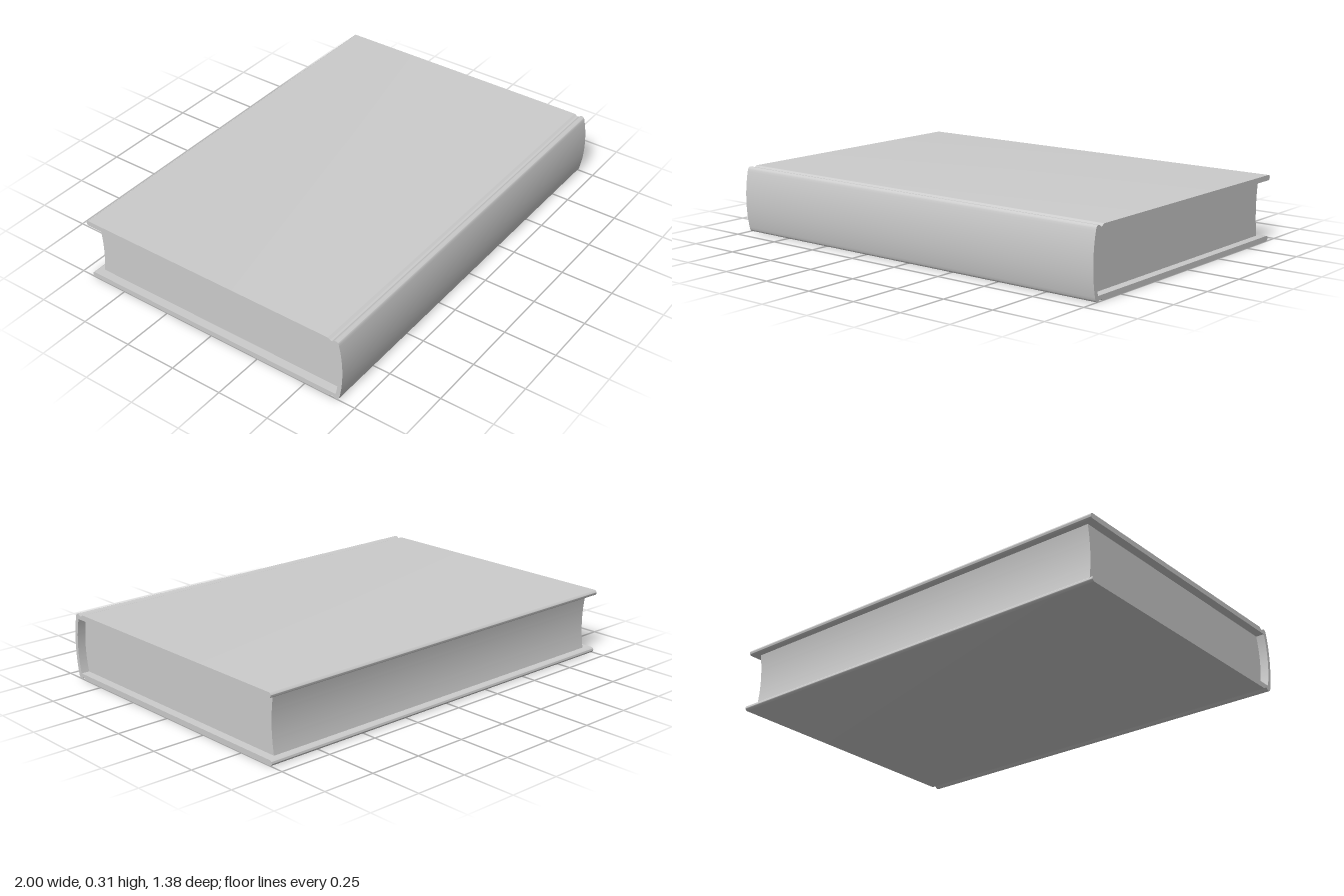
import * as THREE from 'three';
import { toCreasedNormals } from 'three/addons/utils/BufferGeometryUtils.js';

const MID = 0.155; // half the thickness of the book

// Extrude a half profile (s = -z, y measured from mid height), mirrored top to bottom, along x
function extrudeProfile(name, half, length) {
  const upper = half.getPoints(14);
  const lower = upper.slice(1, -1).reverse().map(p => new THREE.Vector2(p.x, -p.y));
  const geometry = new THREE.ExtrudeGeometry(new THREE.Shape([...upper, ...lower]), {
    depth: length, bevelEnabled: false,
  });
  geometry.translate(0, MID, -length / 2).rotateY(Math.PI / 2);
  const mesh = new THREE.Mesh(
    toCreasedNormals(geometry, 0.6),
    new THREE.MeshStandardMaterial({ color: 0xcccccc }),
  );
  mesh.name = name;
  return mesh;
}

export function createModel() {
  const book = new THREE.Group();
  book.name = 'book';

  // Cover: rounded spine, hinge groove, flat board with a rounded edge, then back along the inside
  const cover = new THREE.Path();
  cover.moveTo(-0.69, 0);
  cover.quadraticCurveTo(-0.69, 0.075, -0.673, 0.143);
  cover.quadraticCurveTo(-0.669, MID, -0.658, MID);
  cover.bezierCurveTo(-0.647, MID, -0.647, 0.146, -0.637, 0.146);
  cover.bezierCurveTo(-0.628, 0.146, -0.628, MID, -0.616, MID);
  cover.lineTo(0.6765, MID);
  cover.absarc(0.6765, MID - 0.0125, 0.0125, Math.PI / 2, -Math.PI / 2, true);
  cover.lineTo(-0.655, 0.13);
  cover.quadraticCurveTo(-0.672, 0.065, -0.672, 0);
  book.add(extrudeProfile('cover', cover, 2));

  // Page block: follows the spine at the front, hollow fore-edge at the back
  const pages = new THREE.Path();
  pages.moveTo(-0.672, 0);
  pages.quadraticCurveTo(-0.672, 0.065, -0.655, 0.13);
  pages.lineTo(0.655, 0.13);
  pages.quadraticCurveTo(0.643, 0.065, 0.643, 0);
  book.add(extrudeProfile('pages', pages, 1.92));

  return book;
}
